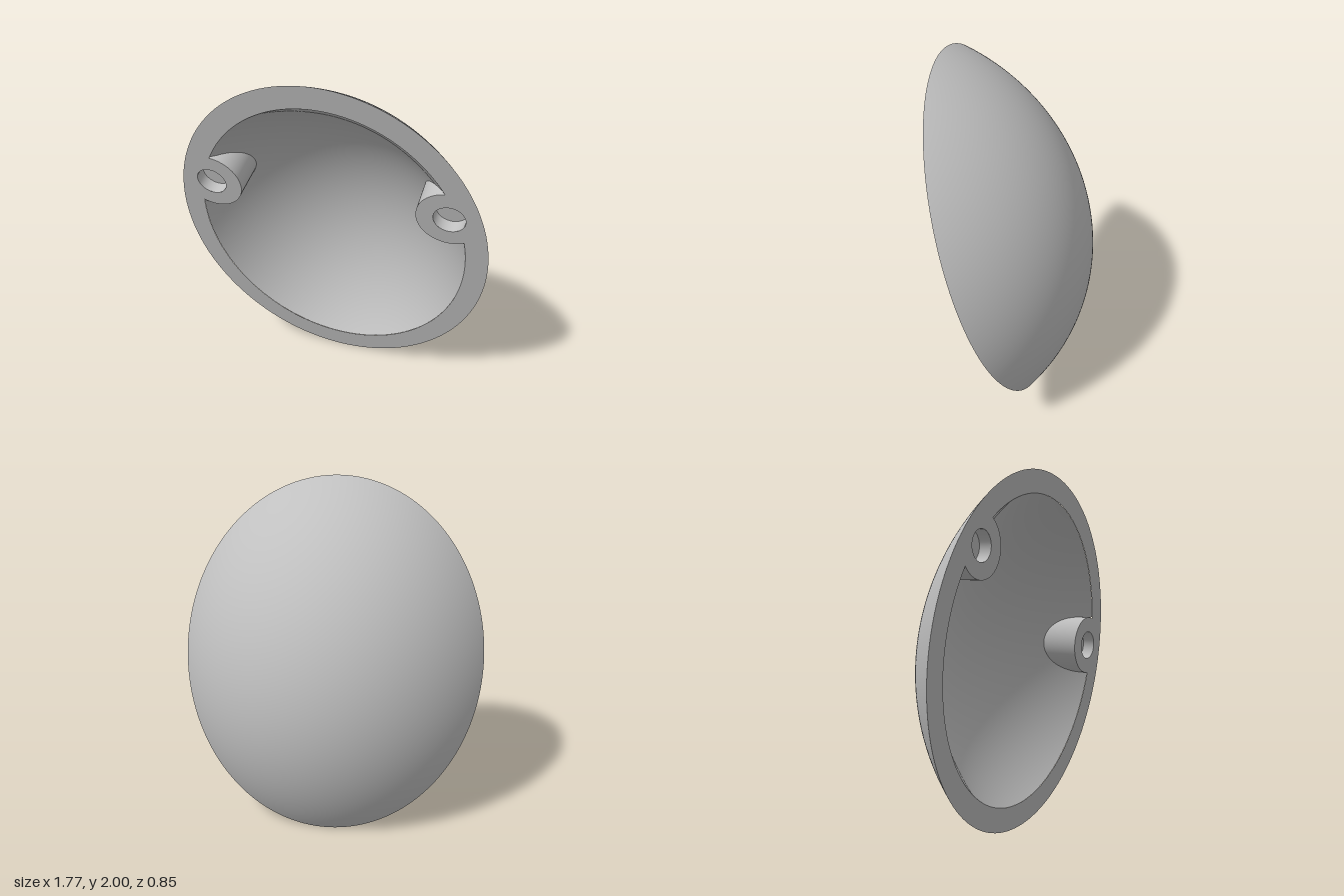
import * as THREE from 'three';

// Local frame: rim lies in the xy plane, the dome bulges toward -z.
const CUT = 0.788;                                   // sphere centre in front of the rim plane
const OUTER = { R: 1.308, rim: 1.044, sx: 0.848 };
const INNER = { R: 1.202, rim: 0.907, sx: 0.84 };
const BOSS = { x: 0.672, y: 0.3, r: 0.178, bore: 0.086, depth: 0.075 };

const grey = new THREE.MeshStandardMaterial({ color: 0xc0c0c0 });
grey.name = 'light grey';

// Turn a surface inside out
function flip(geo) {
  geo.index.array.reverse();
  const n = geo.attributes.normal;
  for (let i = 0; i < n.array.length; i++) n.array[i] *= -1;
  return geo;
}

// Stretched spherical cap ending at the rim plane
function cap({ R, rim, sx }) {
  return new THREE.SphereGeometry(R, 144, 48, 0, Math.PI * 2, 0, Math.asin(rim / R))
    .translate(0, -CUT, 0).rotateX(-Math.PI / 2).scale(sx, 1, 1);
}

const cavityDepth = (p) =>
  Math.sqrt(Math.max(0, INNER.R ** 2 - (p.x / INNER.sx) ** 2 - p.y ** 2)) - CUT;
const bossDistance = (x, y) => Math.hypot(Math.abs(x) - BOSS.x, y - BOSS.y);
const mirrored = (pts) => pts.map((p) => new THREE.Vector2(-p.x, p.y)).reverse();

// Part of the right-hand boss circle that stands inside the cavity, bottom to top
function bossArc() {
  const pts = [];
  for (let i = 0; i <= 240; i++) {
    const a = Math.PI * (1.75 - 1.5 * i / 240);
    const p = new THREE.Vector2(BOSS.x + BOSS.r * Math.cos(a), BOSS.y + BOSS.r * Math.sin(a));
    if (cavityDepth(p) > 0) pts.push(p);
  }
  return pts;
}

// Right half of the cavity opening, from bottom to top, stepping round the boss
function halfOpening(arc) {
  const low = [], high = [];
  for (let i = 0; i <= 120; i++) {
    const t = Math.PI * (i / 120 - 0.5);
    const p = new THREE.Vector2(INNER.rim * INNER.sx * Math.cos(t), INNER.rim * Math.sin(t));
    if (bossDistance(p.x, p.y) > BOSS.r) (p.y < BOSS.y ? low : high).push(p);
  }
  return [...low, ...arc, ...high];
}

// Boss side wall from the rim down to the cavity surface
function bossWall(pts) {
  const pos = [], idx = [];
  pts.forEach((p, i) => {
    pos.push(p.x, p.y, 0, p.x, p.y, -cavityDepth(p) - 0.01);
    if (i < pts.length - 1) {
      const a = 2 * i;
      idx.push(a, a + 2, a + 1, a + 2, a + 3, a + 1);
    }
  });
  const geo = new THREE.BufferGeometry();
  geo.setAttribute('position', new THREE.Float32BufferAttribute(pos, 3));
  geo.setIndex(idx);
  geo.computeVertexNormals();
  return geo;
}

export function createModel() {
  const model = new THREE.Group();
  model.name = 'shell';
  const body = new THREE.Group();
  body.name = 'tiltedShell';
  body.rotation.x = Math.atan(0.298);
  body.position.set(0, 1, 0.127);
  model.add(body);
  const add = (name, geo) => {
    const mesh = new THREE.Mesh(geo, grey);
    mesh.name = name;
    body.add(mesh);
    return mesh;
  };

  // Domed outside
  add('outerDome', cap(OUTER));

  // Hollow inside, pushed back behind the bosses so the bores stay clear
  const cavity = flip(cap(INNER));
  const pos = cavity.attributes.position;
  for (let i = 0; i < pos.count; i++) {
    if (bossDistance(pos.getX(i), pos.getY(i)) < 0.155) {
      pos.setZ(i, Math.min(pos.getZ(i), -0.09));
    }
  }
  add('cavity', cavity);

  // Flat rim including the boss faces, with bore openings
  const arc = bossArc();
  const half = halfOpening(arc);
  const rim = new THREE.Shape();
  rim.absellipse(0, 0, OUTER.rim * OUTER.sx, OUTER.rim, 0, Math.PI * 2);
  rim.holes.push(new THREE.Path([...half, ...mirrored(half).slice(1, -1)]));
  for (const s of [1, -1]) {
    const hole = new THREE.Path();
    hole.absarc(s * BOSS.x, BOSS.y, BOSS.bore, 0, Math.PI * 2);
    rim.holes.push(hole);
  }
  add('rim', new THREE.ShapeGeometry(rim, 72));

  // Bosses with blind bores
  for (const [side, s] of [['left', 1], ['right', -1]]) {
    add(side + 'BossWall', bossWall(s > 0 ? arc : mirrored(arc)));
    const bore = new THREE.CylinderGeometry(BOSS.bore, BOSS.bore, BOSS.depth, 64, 1, true);
    add(side + 'BoreWall', flip(bore.rotateX(Math.PI / 2)))
      .position.set(s * BOSS.x, BOSS.y, -BOSS.depth / 2);
    add(side + 'BoreFloor', new THREE.CircleGeometry(BOSS.bore, 64))
      .position.set(s * BOSS.x, BOSS.y, -BOSS.depth);
  }
  return model;
}
